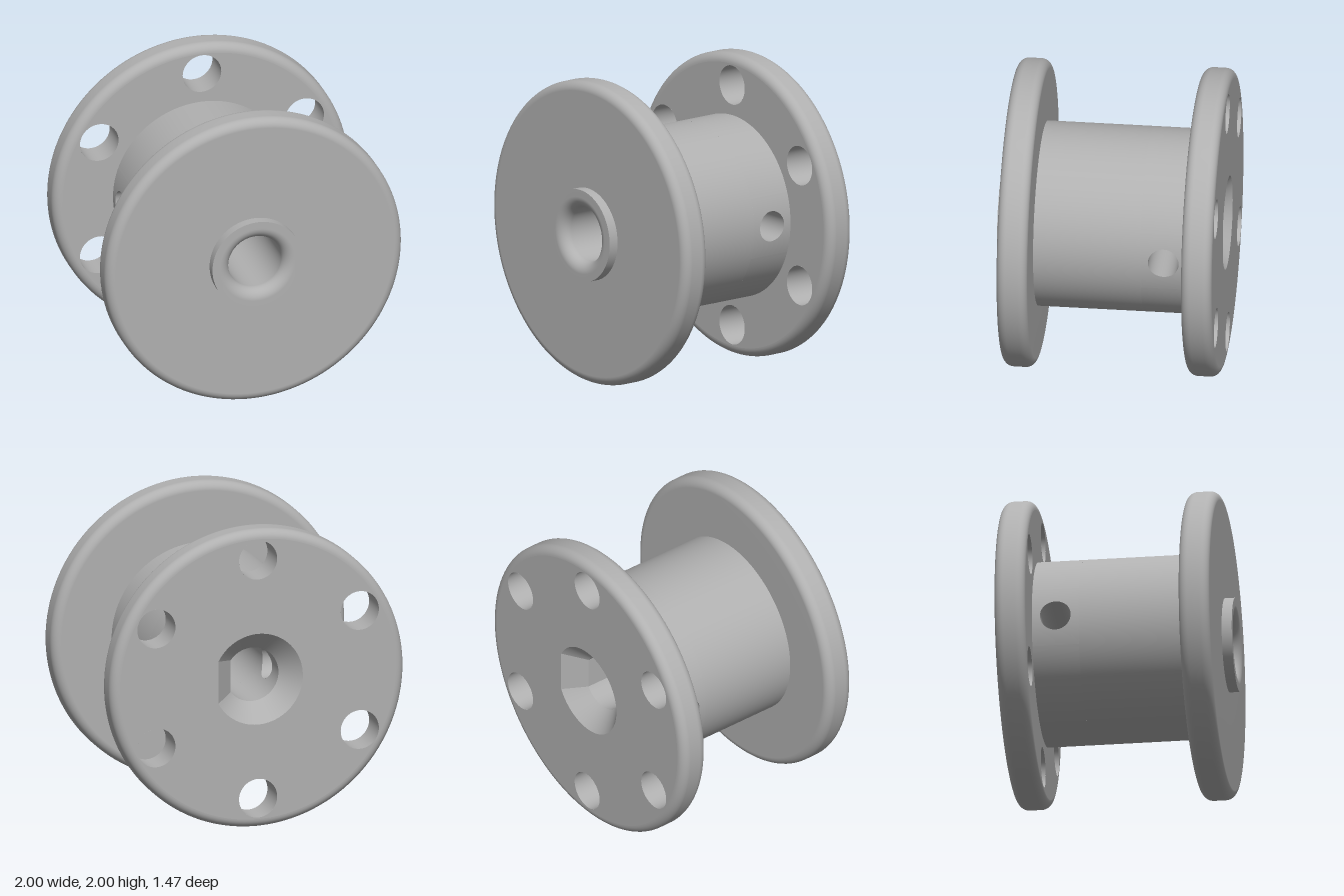
import * as THREE from 'three';
import { mergeVertices } from 'three/addons/utils/BufferGeometryUtils.js';

const { sin, cos, PI, sqrt, asin, abs } = Math;

// Main dimensions; the spool axis is z
const R = 1, HUB = 0.6, BORE = 0.18, FLAT = 0.145, BOSS = 0.305;
const Z = { boss: 0.733, front: 0.667, frontIn: 0.467, backIn: -0.533, back: -0.733 };
const FILLET = 0.06, CHAMFER = 0.125, LIP = 0.075;
const PIN = 0.1, PIN_Z = -0.38, STEP_Z = -0.2, PATCH_Z = -0.23;
const HALF = sqrt(BORE * BORE - FLAT * FLAT);

// Smooth surface from a rule f(u, v); it faces along dU x dV unless flipped
function surface(f, nu, nv, flip = false) {
  const pos = [], idx = [];
  for (let i = 0; i <= nu; i++)
    for (let j = 0; j <= nv; j++) pos.push(...f(i / nu, j / nv));
  for (let i = 0; i < nu; i++)
    for (let j = 0; j < nv; j++) {
      const a = i * (nv + 1) + j, b = a + nv + 1;
      if (flip) idx.push(a, b + 1, b, a, a + 1, b + 1);
      else idx.push(a, b, b + 1, a, b + 1, a + 1);
    }
  let g = new THREE.BufferGeometry();
  g.setAttribute('position', new THREE.Float32BufferAttribute(pos, 3));
  g.setIndex(idx);
  g = mergeVertices(g, 1e-5);
  g.computeVertexNormals();
  return g;
}

// Revolve a profile of [radius, z] points about z
const revolve = (pts) => surface((u, v) => {
  const [r, z] = pts[Math.round(v * (pts.length - 1))];
  return [r * cos(u * 2 * PI), r * sin(u * 2 * PI), z];
}, 128, pts.length - 1);

// Part of a cylinder wall; z0 > z1 makes it face the axis
const wall = (r, a0, a1, z0, z1, cx = 0, cy = 0, n = 64) => surface((u, v) => {
  const a = a0 + (a1 - a0) * u;
  return [cx + r * cos(a), cy + r * sin(a), z0 + (z1 - z0) * v];
}, n, 1);

// Quarter-round profile points
function arc(cr, cz, r, a0, a1, n = 10) {
  return Array.from({ length: n + 1 }, (_, i) => {
    const a = a0 + (a1 - a0) * i / n;
    return [cr + r * cos(a), cz + r * sin(a)];
  });
}

const rimProfile = (z0, z1) => [
  ...arc(R - FILLET, z0 + FILLET, FILLET, -PI / 2, 0),
  ...arc(R - FILLET, z1 - FILLET, FILLET, 0, PI / 2),
];

// Wall region x(y) pierced by the round cross hole
function piercedPatch(xOf, h, z0, z1, flip) {
  const corners = [[h, z0], [h, z1], [-h, z1], [-h, z0], [h, z0]];
  return surface((u, v) => {
    const k = Math.min(3, Math.floor(u * 4 + 1e-9)), t = u * 4 - k;
    const by = corners[k][0] + (corners[k + 1][0] - corners[k][0]) * t;
    const bz = corners[k][1] + (corners[k + 1][1] - corners[k][1]) * t - PIN_Z;
    const l = PIN / Math.hypot(by, bz), s = l + (1 - l) * v;
    return [xOf(by * s), by * s, PIN_Z + bz * s];
  }, 96, 8, flip);
}

// D-shaped outline: an arc closed by a flat on the +x side
function dPoint(grow, u) {
  const r = BORE + grow, a0 = Math.acos((FLAT + grow) / r);
  const a = a0 + (2 * PI - 2 * a0) * u;
  return [r * cos(a), r * sin(a)];
}

function circlePath(r, x = 0, y = 0) {
  return new THREE.Path().absarc(x, y, r, 0, 2 * PI, true);
}

export function createModel() {
  const model = new THREE.Group();
  const grey = new THREE.MeshStandardMaterial({ color: 0xb0b0b0, side: THREE.DoubleSide });
  grey.name = 'plain grey';
  const group = (name) => {
    const g = new THREE.Group();
    g.name = name;
    g.position.y = 1;
    model.add(g);
    return g;
  };
  const add = (parent, name, geometry) => {
    const m = new THREE.Mesh(geometry, grey);
    m.name = name;
    parent.add(m);
    return m;
  };

  // Front flange and its raised boss
  const front = group('frontFlange');
  add(front, 'frontDisc', revolve([[HUB, Z.frontIn], ...rimProfile(Z.frontIn, Z.front), [BOSS, Z.front]]));
  add(front, 'bossSide', wall(BOSS, 0, 2 * PI, Z.front, Z.boss, 0, 0, 128));
  add(front, 'bossLipAndBore', revolve([
    [BOSS, Z.boss],
    ...arc(BORE + LIP, Z.boss - LIP, LIP, PI / 2, PI),
    [BORE, STEP_Z],
  ]));

  // Back flange with six round holes
  const back = group('backFlange');
  add(back, 'backRim', revolve(rimProfile(Z.back, Z.backIn)));
  const faceShape = () => new THREE.Shape().absarc(0, 0, R - FILLET, 0, 2 * PI, false);
  const inner = faceShape(), outer = faceShape();
  inner.holes.push(circlePath(HUB));
  outer.holes.push(new THREE.Path(Array.from({ length: 65 }, (_, i) =>
    new THREE.Vector2(...dPoint(CHAMFER, 1 - i / 64)))));
  for (let i = 0; i < 6; i++) {
    const a = PI / 6 + i * PI / 3, x = 0.8 * cos(a), y = 0.8 * sin(a);
    inner.holes.push(circlePath(0.13, x, y));
    outer.holes.push(circlePath(0.13, x, y));
    add(back, 'flangeHole', wall(0.13, 0, 2 * PI, Z.backIn, Z.back, x, y));
  }
  add(back, 'innerFace', new THREE.ShapeGeometry(inner, 64)).position.z = Z.backIn;
  const outerGeo = new THREE.ShapeGeometry(outer, 64);
  const order = Array.from(outerGeo.index.array).reverse();
  outerGeo.setIndex(order);
  outerGeo.computeVertexNormals();
  add(back, 'outerFace', outerGeo).position.z = Z.back;

  // Chamfered D-shaped mouth
  add(back, 'chamferRound', surface((u, v) =>
    [...dPoint(CHAMFER * v, u), Z.back + CHAMFER * (1 - v)], 96, 1));
  add(back, 'chamferFlat', surface((u, v) => {
    const y = dPoint(CHAMFER * v, 0)[1];
    return [FLAT + CHAMFER * v, y * (2 * u - 1), Z.back + CHAMFER * (1 - v)];
  }, 1, 1));

  // Hub wall, pierced on both sides
  const hub = group('hub');
  const hubX = (y) => sqrt(HUB * HUB - y * y), boreX = (y) => sqrt(BORE * BORE - y * y);
  add(hub, 'barrel', wall(HUB, 0, 2 * PI, PATCH_Z, Z.frontIn, 0, 0, 128));
  const ha = asin(0.2 / HUB), ba = asin(HALF / BORE), boreEnd = Z.back + CHAMFER;
  for (const s of [0, PI]) {
    add(hub, 'barrelArc', wall(HUB, s + ha, s + PI - ha, Z.backIn, PATCH_Z));
    add(hub, 'boreArc', wall(BORE, s + ba, s + PI - ba, STEP_Z, boreEnd));
  }
  for (const s of [1, -1]) {
    const inX = s > 0 ? () => FLAT : boreX;
    add(hub, 'barrelPatch', piercedPatch((y) => s * hubX(y), 0.2, Z.backIn, PATCH_Z, s > 0));
    add(hub, 'borePatch', piercedPatch((y) => s * inX(y), HALF, boreEnd, STEP_Z, s < 0));
    // Cross hole from the bore to the barrel
    add(hub, 'crossHole', surface((u, v) => {
      const y = PIN * cos(u * 2 * PI);
      return [s * (inX(y) + (hubX(y) - inX(y)) * v), y, PIN_Z + PIN * sin(u * 2 * PI)];
    }, 96, 1, s > 0));
  }

  // Ledge where the flat of the bore ends
  const ledge = new THREE.Shape().absarc(0, 0, BORE, -ba, ba, false);
  add(hub, 'boreLedge', new THREE.ShapeGeometry(ledge, 24)).position.z = STEP_Z;
  return model;
}
